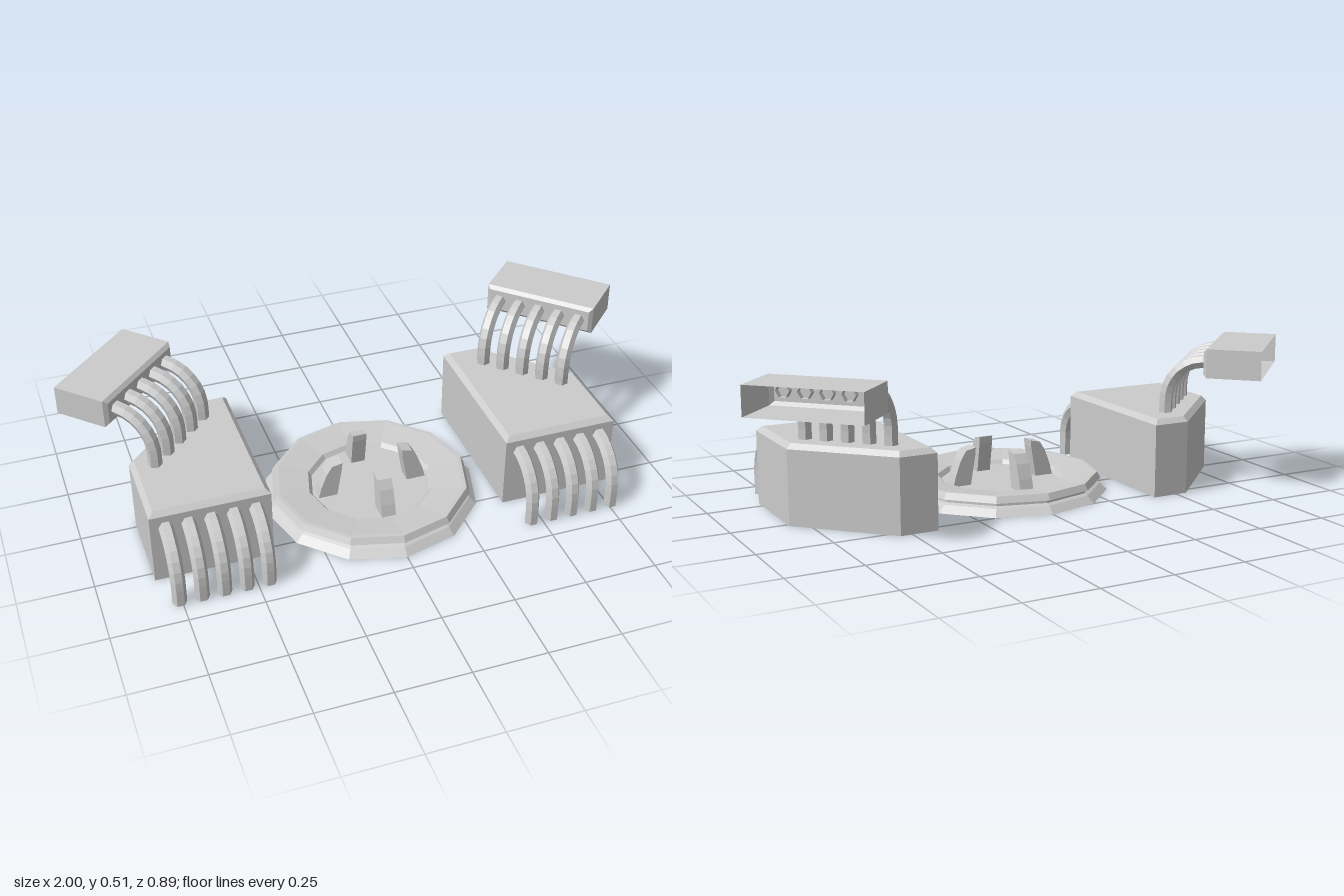
import * as THREE from 'three';

const material = new THREE.MeshStandardMaterial({ color: 0xcccccc, flatShading: true, side: THREE.DoubleSide });

function mesh(geometry, name) {
  const m = new THREE.Mesh(geometry, material);
  m.name = name;
  return m;
}

// Convex outline [x, z] moved inwards by d on every edge (d may be zero)
function inset(points, d) {
  const n = points.length;
  const v = points.map(p => new THREE.Vector2(p[0], p[1]));
  return v.map((p, i) => {
    const a = p.clone().sub(v[(i + n - 1) % n]).normalize();
    const b = v[(i + 1) % n].clone().sub(p).normalize();
    const k = d / a.cross(b);
    return [p.x + (b.x - a.x) * k * Math.sign(k || 1) * Math.sign(d), p.y + (b.y - a.y) * k * Math.sign(k || 1) * Math.sign(d)];
  });
}

// Hollow shell, open at y = 0, with a bevelled cap at y = height
function shell(points, height, bevel) {
  const top = inset(points, bevel);
  const rings = [[points, 0], [points, height - bevel], [top, height]]
    .map(([loop, y]) => loop.map(([x, z]) => [x, y, z]));
  const n = points.length, pos = [];
  for (let r = 0; r < 2; r++) {
    for (let i = 0; i < n; i++) {
      const j = (i + 1) % n;
      const a = rings[r][i], b = rings[r][j], c = rings[r + 1][j], d = rings[r + 1][i];
      pos.push(...a, ...b, ...c, ...a, ...c, ...d);
    }
  }
  for (let i = 1; i < n - 1; i++) pos.push(...rings[2][0], ...rings[2][i], ...rings[2][i + 1]);
  const g = new THREE.BufferGeometry();
  g.setAttribute('position', new THREE.Float32BufferAttribute(pos, 3));
  g.computeVertexNormals();
  return g;
}

// Row of five tubes that rise and bend backwards through a quarter turn
function tubeRow(name) {
  const R = 0.135, path = [new THREE.Vector3(0, 0, 0)];
  for (let i = 0; i <= 6; i++) {
    const a = (i / 6) * Math.PI / 2;
    path.push(new THREE.Vector3(0, 0.075 + R * Math.sin(a), R * Math.cos(a) - R));
  }
  path.push(new THREE.Vector3(0, 0.21, -R - 0.02));
  const geometry = new THREE.TubeGeometry(new THREE.CatmullRomCurve3(path), 10, 0.024, 6);
  const row = new THREE.Group();
  row.name = name;
  for (let i = -2; i <= 2; i++) {
    const tube = mesh(geometry, 'bentTube');
    tube.position.x = i * 0.074;
    row.add(tube);
  }
  return row;
}

// One side unit: s = 1 for +x, -1 for -x
function sideUnit(s) {
  const unit = new THREE.Group();
  unit.name = s > 0 ? 'leftUnit' : 'rightUnit';

  // Body with one corner cut off at 45 degrees
  const outline = [[0.41, 0.285], [0.81, 0.285], [0.81, -0.015], [0.54, -0.285], [0.41, -0.285]]
    .map(([x, z]) => [x * s, z]);
  if (s < 0) outline.reverse();
  unit.add(mesh(shell(outline, 0.27, 0.017), 'body'));

  const front = tubeRow('frontTubes');
  front.position.set(0.61 * s, 0, 0.41);
  unit.add(front);

  // Raised block, turned 45 degrees and open at its back
  const arm = new THREE.Group();
  arm.name = 'raisedArm';
  arm.position.set(0.86 * s, 0.455, -0.3075);
  arm.rotation.y = -s * Math.PI / 4;
  const block = mesh(shell([[-0.198, 0.05], [0.198, 0.05], [0.198, -0.05], [-0.198, -0.05]], 0.198, 0.012), 'block');
  block.rotation.x = Math.PI / 2;
  const upper = tubeRow('upperTubes');
  upper.position.set(0, -0.21, 0.331);
  arm.add(block, upper);
  unit.add(arm);
  return unit;
}

// Round base plate with a grooved rim, a sunken middle and four prongs
function basePlate() {
  const plate = new THREE.Group();
  plate.name = 'basePlate';
  plate.position.z = 0.072;
  const profile = [[0.373, 0], [0.348, 0.024], [0.335, 0.03], [0.335, 0.038], [0.35, 0.042],
    [0.338, 0.064], [0.325, 0.064], [0.22, 0.05], [0.208, 0.035], [0, 0.035]]
    .map(([x, y]) => new THREE.Vector2(x, y));
  plate.add(mesh(new THREE.LatheGeometry(profile, 12), 'dish'));

  const side = new THREE.Shape([[0.128, 0.033], [0.195, 0.033], [0.184, 0.075], [0.165, 0.125], [0.145, 0.157],
    [0.108, 0.165], [0.11, 0.14]].map(([x, y]) => new THREE.Vector2(x, y)));
  const prongGeometry = new THREE.ExtrudeGeometry(side, { depth: 0.05, bevelEnabled: false });
  prongGeometry.translate(0, 0, -0.025);
  for (let i = 0; i < 4; i++) {
    const prong = mesh(prongGeometry, 'prong');
    prong.rotation.y = i * Math.PI / 2;
    plate.add(prong);
  }
  return plate;
}

export function createModel() {
  const model = new THREE.Group();
  model.name = 'model';
  model.add(basePlate(), sideUnit(1), sideUnit(-1));
  return model;
}
